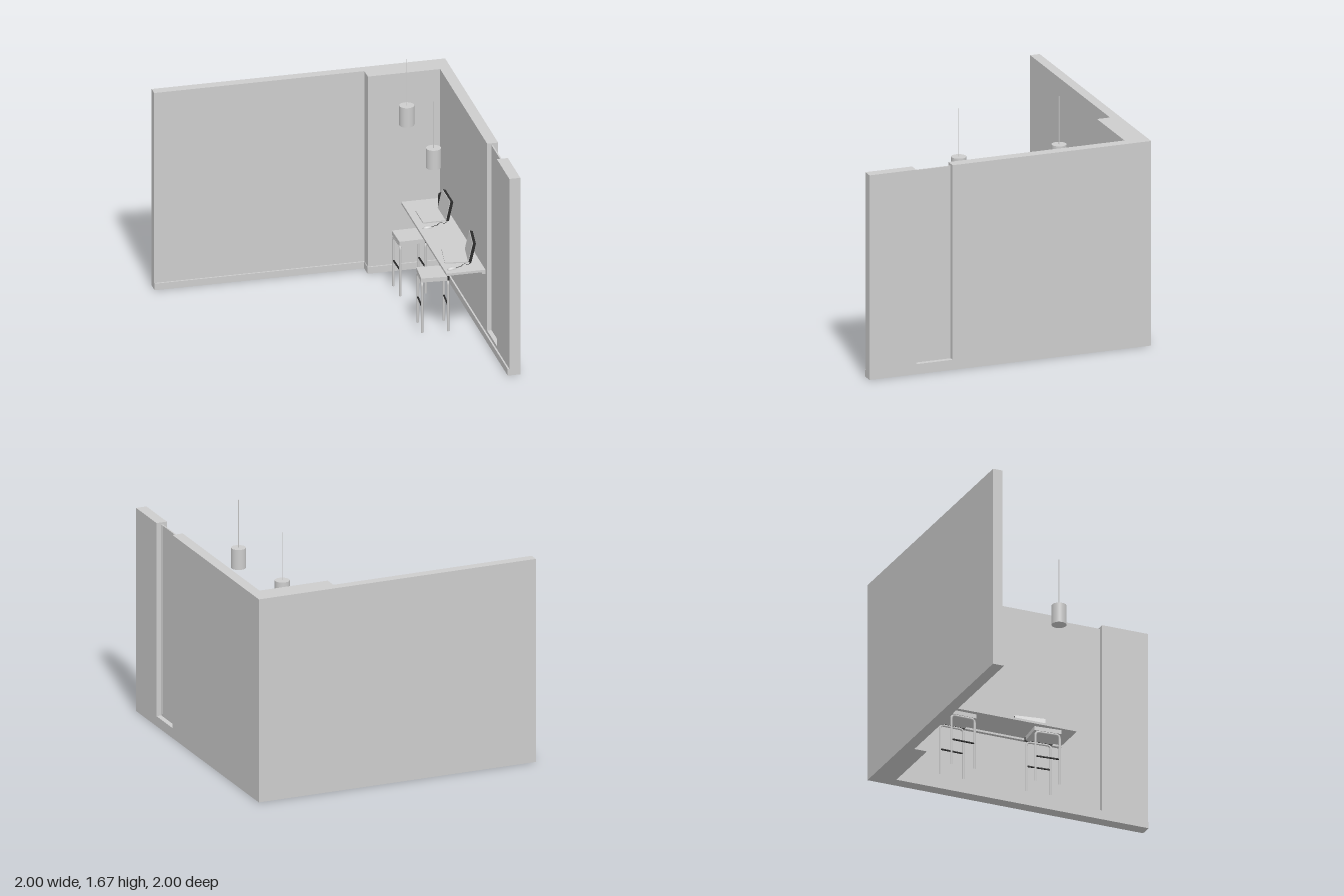
import * as THREE from 'three';

const plaster = new THREE.MeshStandardMaterial({ color: 0xcccccc });
plaster.name = 'light grey';
const dark = new THREE.MeshStandardMaterial({ color: 0x2a2a2a });
dark.name = 'charcoal';

function add(parent, name, geometry, material = plaster) {
  const mesh = new THREE.Mesh(geometry, material);
  mesh.name = name;
  parent.add(mesh);
  return mesh;
}

// Box given by its lowest and highest corner
function block(parent, name, [x0, y0, z0], [x1, y1, z1], material) {
  const g = new THREE.BoxGeometry(x1 - x0, y1 - y0, z1 - z0);
  g.translate((x0 + x1) / 2, (y0 + y1) / 2, (z0 + z1) / 2);
  return add(parent, name, g, material);
}

// Floor plan of [x, z] corners raised to a height
function plan(parent, name, corners, height) {
  const shape = new THREE.Shape(corners.map(([x, z]) => new THREE.Vector2(x, -z)));
  const g = new THREE.ExtrudeGeometry(shape, { depth: height, bevelEnabled: false });
  g.rotateX(-Math.PI / 2);
  return add(parent, name, g);
}

function makeStool(x, z, turn) {
  const stool = new THREE.Group();
  stool.name = 'stool';
  block(stool, 'seat', [-0.095, 0.367, -0.095], [0.08, 0.396, 0.095]);
  block(stool, 'seatEnd', [0.08, 0.367, -0.095], [0.095, 0.396, 0.095], dark);
  for (const sx of [-1, 1]) {
    // Each pair of legs is one bent tube passing under the seat
    const bend = new THREE.CurvePath();
    const p = (y, pz) => new THREE.Vector3(sx * 0.087, y, pz);
    bend.add(new THREE.LineCurve3(p(0, -0.085), p(0.335, -0.085)));
    bend.add(new THREE.QuadraticBezierCurve3(p(0.335, -0.085), p(0.36, -0.085), p(0.36, -0.06)));
    bend.add(new THREE.LineCurve3(p(0.36, -0.06), p(0.36, 0.06)));
    bend.add(new THREE.QuadraticBezierCurve3(p(0.36, 0.06), p(0.36, 0.085), p(0.335, 0.085)));
    bend.add(new THREE.LineCurve3(p(0.335, 0.085), p(0, 0.085)));
    add(stool, 'legs', new THREE.TubeGeometry(bend, 60, 0.008, 8));
    const rail = add(stool, 'footRail', new THREE.CylinderGeometry(0.006, 0.006, 0.17, 8), dark);
    rail.rotation.x = Math.PI / 2;
    rail.position.set(sx * 0.087, 0.185, 0);
  }
  stool.position.set(x, 0, z);
  stool.rotation.y = turn;
  return stool;
}

function makeLaptop(x, z, turn) {
  const laptop = new THREE.Group();
  laptop.name = 'laptop';
  block(laptop, 'base', [-0.08, 0, -0.105], [0.08, 0.008, 0.105]);
  const lid = new THREE.Group();
  lid.name = 'lid';
  block(lid, 'screen', [-0.004, 0, -0.105], [0, 0.138, 0.105]);
  block(lid, 'lidBack', [0, 0, -0.105], [0.02, 0.138, 0.105], dark);
  lid.position.set(0.076, 0.004, 0);
  lid.rotation.z = -0.22;
  laptop.add(lid);
  laptop.position.set(x, 0.49, z);
  laptop.rotation.y = turn;
  return laptop;
}

function makeMouse(x, z, plugX, plugZ, turn) {
  const mouse = new THREE.Group();
  mouse.name = 'mouse';
  const body = add(mouse, 'mouseBody', new THREE.SphereGeometry(1, 16, 8, 0, Math.PI * 2, 0, Math.PI / 2));
  body.scale.set(0.034, 0.016, 0.017);
  body.position.set(x, 0.49, z);
  body.rotation.y = turn;
  const dx = plugX - x, dz = plugZ - z;
  const cord = new THREE.CatmullRomCurve3([[0.2, 0], [0.45, 0.008], [0.65, -0.012], [0.85, 0.014], [1, 0]].map(
    ([t, s]) => new THREE.Vector3(x + dx * t, 0.492, z + dz * t + s)));
  add(mouse, 'mouseCord', new THREE.TubeGeometry(cord, 24, 0.0015, 5), dark);
  return mouse;
}

function makeLamp(x, z) {
  const lamp = new THREE.Group();
  lamp.name = 'pendantLamp';
  add(lamp, 'shade', new THREE.CylinderGeometry(0.05, 0.05, 0.14, 32)).position.y = 1.27;
  add(lamp, 'cord', new THREE.CylinderGeometry(0.003, 0.003, 0.335, 8)).position.y = 1.507;
  lamp.position.set(x, 0, z);
  return lamp;
}

export function createModel() {
  const model = new THREE.Group();
  model.name = 'studyCorner';

  // Walls with the corner pier, and the slot near the open end
  const H = 1.42;
  plan(model, 'walls', [[-1, -1], [1, -1], [1, 0.41], [0.925, 0.41], [0.925, -0.84],
    [0.432, -0.84], [0.432, -0.932], [-1, -0.932]], H);
  block(model, 'wallEnd', [0.925, 0, 0.668], [1, H, 1]);
  block(model, 'slotSill', [0.925, 0, 0.41], [1, 0.07, 0.668]);
  block(model, 'slotPane', [0.955, 0.07, 0.41], [0.965, 1.405, 0.668]);
  block(model, 'paneTrim', [0.965, 0.085, 0.65], [0.968, 1.405, 0.656]);

  // Skirting board along the inner faces
  plan(model, 'skirting', [[-1, -0.932], [0.432, -0.932], [0.432, -0.84], [0.925, -0.84], [0.925, 1],
    [0.914, 1], [0.914, -0.829], [0.428, -0.829], [0.428, -0.92], [-1, -0.92]], 0.047);

  // Wall desk on a narrow ledger
  block(model, 'deskTop', [0.66, 0.474, -0.84], [0.925, 0.49, 0.365]);
  block(model, 'deskLedger', [0.9, 0.46, -0.84], [0.925, 0.474, 0.365]);

  model.add(makeLaptop(0.792, -0.565, 0), makeLaptop(0.785, 0.112, -0.15));
  model.add(makeMouse(0.722, -0.385, 0.875, -0.455, 0.05), makeMouse(0.712, 0.3, 0.86, 0.23, 0.2));

  // Dark wedge beside the rear laptop
  const wedge = plan(model, 'wedgeStand', [[0.868, -0.67], [0.88, -0.7], [0.915, -0.722], [0.922, -0.67]], 0.1);
  wedge.material = dark;
  wedge.position.y = 0.49;

  model.add(makeStool(0.633, -0.515, 0.02), makeStool(0.633, 0.107, -0.08));
  model.add(makeLamp(0.61, -0.5), makeLamp(0.61, 0.212));
  return model;
}
